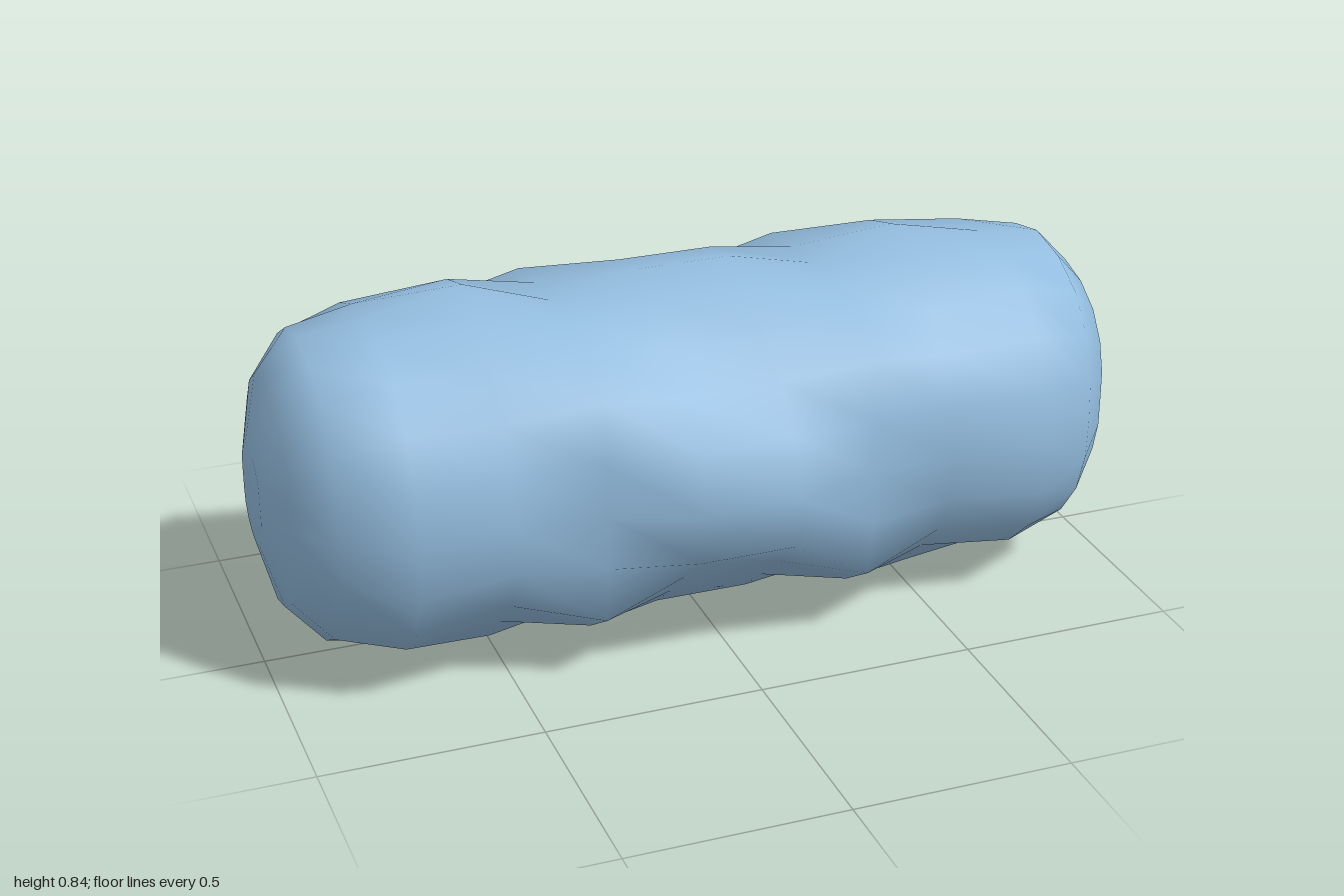
import * as THREE from 'three';
import { mergeVertices } from 'three/addons/utils/BufferGeometryUtils.js';

const SIDES = 20;
const CENTRE_Y = 0.423;

// Half of the body: x, then radii at 0, 18, 36, 54, 72 and 90 degrees from the z axis
const HALF = [
  [0.11, 0.45, 0.43, 0.375, 0.37, 0.395, 0.40],
  [0.31, 0.375, 0.40, 0.445, 0.415, 0.37, 0.355],
  [0.51, 0.37, 0.37, 0.37, 0.37, 0.405, 0.422],
  [0.73, 0.395, 0.40, 0.40, 0.394, 0.38, 0.375],
  [0.88, 0.305, 0.315, 0.33, 0.345, 0.35, 0.355],
  [0.96, 0.21, 0.22, 0.235, 0.25, 0.26, 0.27],
  [1.0, 0.085, 0.09, 0.10, 0.105, 0.11, 0.115],
  [1.0, 0, 0, 0, 0, 0, 0],
];

// Loft lumpy rings along x, mirrored about the middle
function lumpyCapsule() {
  const mirrored = HALF.map(([x, ...r]) => [-x, ...r]).reverse();
  const rings = [...mirrored, ...HALF];
  const last = rings.length - 1;
  const positions = [];
  const index = [];
  rings.forEach(([x, ...radii], j) => {
    for (let i = 0; i < SIDES; i++) {
      const a = (i / SIDES) * Math.PI * 2;
      const k = i % 10;
      const r = radii[k <= 5 ? k : 10 - k];
      positions.push(x, CENTRE_Y + r * Math.sin(a), r * Math.cos(a));
      if (j === last) continue;
      const p = j * SIDES + i;
      const q = j * SIDES + ((i + 1) % SIDES);
      // The end rings are poles, where one triangle of each pair vanishes
      if (j > 0) index.push(p, p + SIDES, q);
      if (j < last - 1) index.push(q, p + SIDES, q + SIDES);
    }
  });
  const geometry = new THREE.BufferGeometry();
  geometry.setAttribute('position', new THREE.Float32BufferAttribute(positions, 3));
  geometry.setIndex(index);
  const merged = mergeVertices(geometry, 1e-5);
  merged.computeVertexNormals();
  return merged;
}

export function createModel() {
  const group = new THREE.Group();
  group.name = 'lumpyCapsule';
  const blue = new THREE.MeshStandardMaterial({ color: 0x93bcde });
  blue.name = 'soft blue';
  const body = new THREE.Mesh(lumpyCapsule(), blue);
  body.name = 'body';
  group.add(body);
  return group;
}
